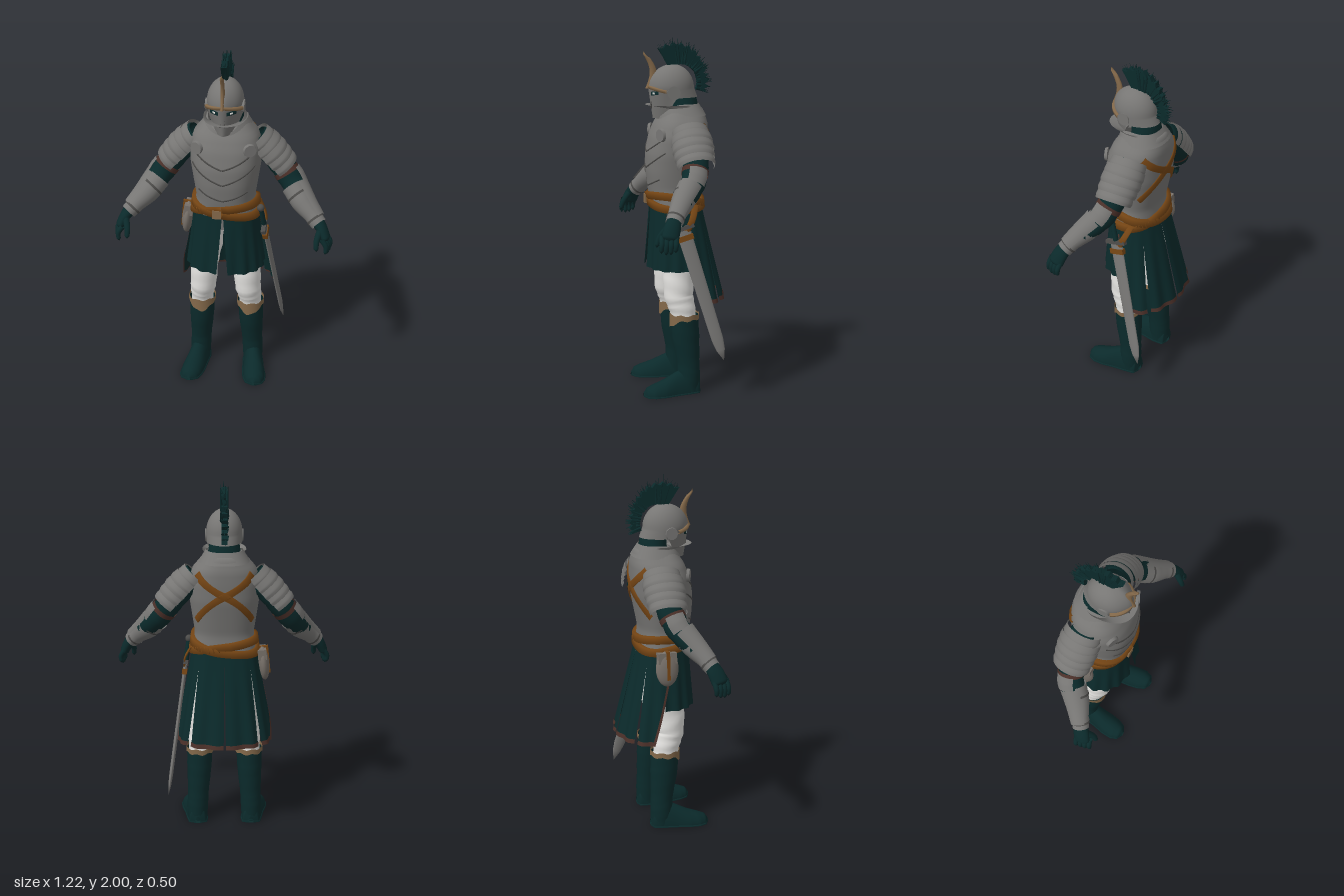
import * as THREE from 'three';
import { mergeVertices } from 'three/addons/utils/BufferGeometryUtils.js';

const paint = (name, color) => {
  const m = new THREE.MeshStandardMaterial({ color, side: THREE.DoubleSide });
  m.name = name;
  return m;
};
const { lerp, clamp, smoothstep } = THREE.MathUtils;
const V = (x, y, z) => new THREE.Vector3(x, y, z);

export function createModel() {
  const steel = paint('steel', 0x777674), darkSteel = paint('darkSteel', 0x4c4b49);
  const cloth = paint('darkCloth', 0x0b2a2b), white = paint('whiteCloth', 0xe4e3e0);
  const leather = paint('brownLeather', 0x754514), tan = paint('tanTrim', 0x84694a);
  const rust = paint('rustTrim', 0x4b3029), bag = paint('pouchLeather', 0x777069);
  const root = new THREE.Group();
  root.name = 'knight';
  let seed = 7;
  const rnd = () => (seed = (seed * 16807) % 2147483647) / 2147483647;

  const add = (parent, name, geo, mat, pos = [0, 0, 0]) => {
    const m = new THREE.Mesh(geo, mat);
    m.name = name;
    m.position.set(...pos);
    parent.add(m);
    return m;
  };
  // smooth grid surface from fn(u, v) -> [x, y, z]
  const surf = (parent, name, mat, nu, nv, fn) => {
    const pos = [], idx = [];
    for (let j = 0; j <= nv; j++) for (let i = 0; i <= nu; i++) pos.push(...fn(i / nu, j / nv));
    for (let j = 0; j < nv; j++) for (let i = 0; i < nu; i++) {
      const a = j * (nu + 1) + i, b = a + nu + 1;
      idx.push(a, b, a + 1, a + 1, b, b + 1);
    }
    let g = new THREE.BufferGeometry();
    g.setAttribute('position', new THREE.Float32BufferAttribute(pos, 3));
    g.setIndex(idx);
    g = mergeVertices(g, 1e-5);
    g.computeVertexNormals();
    return add(parent, name, g, mat);
  };
  // tube through [x, y, z, r, r2] points, optionally only part of the way round
  const limb = (parent, name, mat, pts, a0 = 0, a1 = Math.PI * 2, wrinkle = 0) => {
    const curve = new THREE.CatmullRomCurve3(pts.map(p => V(p[0], p[1], p[2]))), n = pts.length - 1;
    return surf(parent, name, mat, 20, n * 5, (u, v) => {
      const i = Math.min(Math.floor(v * n), n - 1), k = v * n - i, p = pts[i], q = pts[i + 1];
      const t = curve.getTangent(v), N = V(-t.y, t.x, 0).normalize(), B = t.clone().cross(N);
      const a = lerp(a0, a1, u), w = 1 + wrinkle * Math.sin(v * 40 + 2 * Math.sin(a));
      const r = lerp(p[3], q[3], k) * w, r2 = lerp(p[4] ?? p[3], q[4] ?? q[3], k) * w;
      return curve.getPoint(v).addScaledVector(N, r * Math.cos(a)).addScaledVector(B, r2 * Math.sin(a)).toArray();
    });
  };
  // point on a rounded ring [y, halfWidth, front, back]; angle 0 faces forward
  const ring = ([y, rx, f, b], a, off = 0) => {
    const s = Math.sin(a), c = Math.cos(a);
    return [Math.sign(s) * Math.abs(s) ** 0.85 * (rx + off), y, Math.sign(c) * Math.abs(c) ** 0.85 * ((c > 0 ? f : b) + off)];
  };
  // raised strap following a surface along [angle, y] points
  const band = (name, mat, S, path, width, off) => {
    const curve = new THREE.CatmullRomCurve3(path.map(p => V(p[0] * 0.17, p[1], 0)));
    surf(root, name, mat, 48, 3, (u, v) => {
      const p = curve.getPoint(u), t = curve.getTangent(u), k = Math.round(v * 3);
      const w = (k < 2 ? -0.5 : 0.5) * width;
      return S((p.x - t.y * w) / 0.17, p.y + t.x * w, k === 0 || k === 3 ? 0 : off);
    });
  };

  // cuirass
  const prof = [[0.98, 0.185, 0.15, 0.13], [1.08, 0.175, 0.155, 0.12], [1.15, 0.165, 0.168, 0.115], [1.25, 0.18, 0.18, 0.135],
    [1.35, 0.195, 0.18, 0.155], [1.45, 0.2, 0.16, 0.16], [1.52, 0.175, 0.13, 0.16], [1.58, 0.125, 0.09, 0.145], [1.62, 0.085, 0.055, 0.12]];
  const torso = (a, y, off) => {
    const i = clamp(prof.findIndex(p => p[0] > y), 1, 8), p = prof[i - 1], q = prof[i];
    const k = (y - p[0]) / (q[0] - p[0]);
    return ring(p.map((e, j) => lerp(e, q[j], k)), a, off);
  };
  surf(root, 'cuirass', steel, 48, 32, (u, v) => torso(u * Math.PI * 2, lerp(0.98, 1.62, v), 0));
  for (const [y, rise, span] of [[1.27, 0.1, 1], [1.36, 0.09, 0.9], [1.17, 0.05, 0.8]])
    for (const s of [-1, 1])
      band('chestPlateEdge', darkSteel, torso, [[0, y], [s * span * 0.5, y + rise * 0.45], [s * span, y + rise]], 0.007, 0.004);
  for (const s of [-1, 1])
    band('backStrap', leather, torso, [[Math.PI - s * 0.9, 1.51], [Math.PI, 1.39], [Math.PI + s * 0.95, 1.24]], 0.034, 0.009);
  // crossing belts
  for (const s of [-1, 1]) {
    const path = [];
    for (let i = 0; i <= 16; i++) path.push([i / 8 * Math.PI, 1.085 + 0.035 * s * Math.sin(i / 8 * Math.PI + 0.5) + 0.012 * Math.cos(i / 8 * Math.PI)]);
    band('belt', leather, torso, path, 0.04, 0.022);
  }
  add(root, 'buckle', new THREE.BoxGeometry(0.05, 0.05, 0.012), tan, [-0.03, 1.09, 0.18]);
  // neck and flared gorget
  limb(root, 'neckCloth', cloth, [[0, 1.5, -0.03, 0.09, 0.09], [0, 1.6, -0.035, 0.092, 0.078], [0, 1.66, -0.03, 0.082, 0.072]]);
  surf(root, 'gorget', steel, 40, 4, (u, v) => {
    const a = u * Math.PI * 2, f = Math.max(0, Math.cos(a)) ** 2;
    const p = ring([lerp(1.56 - 0.06 * f, 1.625 - 0.075 * f, v), lerp(0.14, 0.1, v), lerp(0.14, 0.13, v), lerp(0.14, 0.1, v)], a);
    p[2] -= 0.015;
    return p;
  });

  // helmet
  surf(root, 'helmet', steel, 48, 24, (u, v) => {
    const a = u * Math.PI * 2, s = Math.sin(a), c = Math.cos(a), t = smoothstep(c, -0.1, 0.6);
    const th = Math.min(v / 0.55, 1) * Math.PI / 2, k = Math.max(0, (v - 0.55) / 0.45);
    const y = k > 0 ? lerp(1.71, lerp(1.66, 1.545, t), k) : 1.71 + 0.13 * Math.cos(th);
    const rz = c > 0 ? 0.125 * (1 - 0.2 * k) + 0.012 * c ** 14 : 0.12 * (1 + 0.16 * k);
    return [0.1 * Math.sin(th) * s * (1 - 0.42 * t * k), y, 0.03 + rz * Math.sin(th) * c];
  });
  const brow = (a, y, off) => [(0.1 + off) * Math.sin(a), y, 0.03 + (0.125 + off) * Math.cos(a)];
  band('browBand', tan, brow, [[-1.15, 1.695], [-0.4, 1.713], [0, 1.718], [0.4, 1.713], [1.15, 1.695]], 0.016, 0.014);
  for (const s of [-1, 1]) {
    band('eyeSlit', cloth, brow, [[s * 0.22, 1.682], [s * 0.75, 1.688]], 0.02, 0.004);
    band('eye', white, brow, [[s * 0.38, 1.684], [s * 0.55, 1.686]], 0.01, 0.006);
    band('visorSlot', darkSteel, brow, [[s * 0.1, 1.66], [s * 0.13, 1.6]], 0.006, -0.004);
    add(root, 'earDisc', new THREE.CylinderGeometry(0.033, 0.036, 0.016, 20), steel, [s * 0.098, 1.69, 0.045]).rotation.z = Math.PI / 2;
  }
  // horn blade on the brow
  surf(root, 'crestHorn', tan, 8, 14, (u, v) => {
    const z = 0.163 - 0.035 * Math.sin(v * Math.PI) + 0.022 * v, y = 1.71 + 0.19 * v, a = u * Math.PI * 2;
    const r = v === 1 ? 0.3 : 1;
    return [0.011 * r * Math.cos(a), y + 0.012 * v * Math.sin(a), z + 0.02 * r * Math.sin(a)];
  });
  // plume: solid core with loose strands
  const reach = t => lerp(0.235, 0.172, smoothstep(t, 0.1, 0.75)), plumeAngle = t => lerp(0.58, -1.95, t);
  const core = new THREE.Shape();
  for (let i = 0; i <= 48; i++) {
    const t = i < 25 ? i / 24 : (48 - i) / 23, f = plumeAngle(t);
    const r = i < 25 ? reach(t) - (i % 2 ? 0.03 : 0.012) : lerp(0.1, 0.125, t);
    core[i ? 'lineTo' : 'moveTo'](-0.01 + Math.sin(f) * r, 1.74 + Math.cos(f) * r);
  }
  add(root, 'plumeCore', new THREE.ExtrudeGeometry(core, { depth: 0.032, bevelEnabled: false }), cloth, [0.016, 0, 0]).rotation.y = -Math.PI / 2;
  for (let i = 0; i < 110; i++) {
    const t = i / 109, f = plumeAngle(t) + (rnd() - 0.5) * 0.1, tilt = (rnd() - 0.5) * 0.12;
    const R = Math.min(reach(t) + (rnd() - 0.5) * 0.035, 0.25), dir = V(tilt, Math.cos(f), Math.sin(f)).normalize();
    const m = add(root, 'plumeStrand', new THREE.ConeGeometry(0.009, R - 0.1, 5), cloth);
    m.quaternion.setFromUnitVectors(V(0, 1, 0), dir);
    m.position.set((rnd() - 0.5) * 0.026, 1.74, -0.01).addScaledVector(dir, (R + 0.1) / 2);
  }
  add(root, 'plumeTip', new THREE.ConeGeometry(0.006, 0.1, 5), cloth, [0.005, 1.95, 0.03]);

  // one side: arm, leg and skirt panels
  const panel = (g, name, mat, top, low, a, b, v0, v1, off) => surf(g, name, mat, 24, 10, (u, v) => {
    const k = lerp(v0, v1, v), ang = lerp(lerp(a[0], a[1], u), lerp(b[0], b[1], u), k);
    return ring(top.map((e, j) => lerp(e, low[j], k)), ang, off + 0.007 * k * Math.sin(ang * 15));
  });
  const full = Math.PI * 2;
  for (const s of [1, -1]) {
    const g = new THREE.Group();
    g.name = s > 0 ? 'leftSide' : 'rightSide';
    g.scale.x = s;
    root.add(g);

    // arm
    limb(g, 'sleeve', cloth, [[0.16, 1.48, -0.03, 0.07], [0.22, 1.43, -0.035, 0.078], [0.3, 1.33, -0.03, 0.07], [0.375, 1.225, 0.005, 0.066], [0.45, 1.14, 0.075, 0.05]], 0, full, 0.035);
    for (let i = 0; i < 5; i++) {
      const x = 0.155 + i * 0.031, y = 1.485 - i * 0.034, r = [0.085, 0.095, 0.096, 0.092, 0.086][i];
      limb(g, 'pauldronLame', steel, [[x, y, -0.03, r, r + 0.016], [x + 0.025, y - 0.027, -0.032, r + 0.006, r + 0.02], [x + 0.037, y - 0.042, -0.033, r + 0.002, r + 0.014]], -1.8, 1.8);
    }
    add(g, 'shoulderDisc', new THREE.CylinderGeometry(0.034, 0.038, 0.016, 20), steel, [0.145, 1.465, 0.128]).rotation.set(Math.PI / 2, 0, -0.45);
    limb(g, 'armStrap', rust, [[0.325, 1.295, -0.022, 0.073], [0.342, 1.272, -0.014, 0.072]]);
    limb(g, 'elbowPlate', steel, [[0.335, 1.285, -0.015, 0.078], [0.36, 1.25, -0.005, 0.08], [0.385, 1.215, 0.012, 0.076]], -0.9, 0.5);
    limb(g, 'bracer', steel, [[0.375, 1.215, 0.02, 0.066], [0.43, 1.15, 0.07, 0.063], [0.49, 1.095, 0.115, 0.048], [0.53, 1.055, 0.142, 0.045]]);
    limb(g, 'bracerPlate', steel, [[0.385, 1.215, 0.02, 0.078], [0.45, 1.14, 0.08, 0.066], [0.51, 1.078, 0.127, 0.055]], -0.8, 0.8);
    for (const [x, y, z, r] of [[0.405, 1.18, 0.047, 0.068], [0.505, 1.08, 0.126, 0.05]])
      limb(g, 'bracerStrap', darkSteel, [[x, y, z, r], [x + 0.008, y - 0.008, z + 0.006, r]]);
    // glove
    limb(g, 'glovePalm', cloth, [[0.52, 1.07, 0.135, 0.036, 0.038], [0.55, 1.03, 0.155, 0.03, 0.045], [0.572, 0.985, 0.17, 0.026, 0.046], [0.58, 0.965, 0.175, 0.004, 0.01]]);
    for (let i = 0; i < 4; i++) {
      const z = 0.138 + i * 0.024, x = 0.58 - i * 0.006, d = [0.012, 0.002, 0, 0.008][i];
      limb(g, 'finger', cloth, [[x - 0.01, 0.995, z, 0.015], [x + 0.015, 0.955, z + 0.006, 0.014], [x + 0.014, 0.915 + d, z + 0.008, 0.012], [x + 0.01, 0.9 + d, z + 0.008, 0.001]]);
    }
    limb(g, 'thumb', cloth, [[0.54, 1.03, 0.18, 0.02], [0.525, 0.985, 0.215, 0.016], [0.525, 0.945, 0.23, 0.013], [0.526, 0.93, 0.232, 0.001]]);

    // leg and boot
    limb(g, 'trouserLeg', white, [[0.095, 0.98, 0.01, 0.09], [0.11, 0.82, 0.015, 0.09, 0.1], [0.123, 0.69, 0.022, 0.078, 0.09], [0.13, 0.56, 0.025, 0.075, 0.082], [0.138, 0.5, 0.01, 0.068, 0.076], [0.142, 0.42, -0.005, 0.062, 0.068]], 0, full, 0.025);
    limb(g, 'bootShaft', cloth, [[0.142, 0.445, -0.005, 0.074, 0.079], [0.146, 0.32, -0.012, 0.07, 0.078], [0.152, 0.18, -0.025, 0.06, 0.064], [0.156, 0.09, -0.028, 0.06, 0.064], [0.157, 0.01, -0.028, 0.056, 0.062]], 0, full, 0.008);
    surf(g, 'bootCuff', tan, 32, 3, (u, v) => {
      const a = u * full, tip = Math.max(0, Math.cos(a)) ** 3;
      return [0.142 + 0.079 * Math.sin(a), lerp(0.458, 0.428 - 0.045 * tip, v) + 0.005 * Math.sin(a * 7), -0.005 + 0.084 * Math.cos(a)];
    });
    // foot sections: [z, x, halfWidth, height]
    const feet = [[-0.092, 0.155, 0.015, 0.04], [-0.08, 0.155, 0.048, 0.1], [-0.02, 0.158, 0.058, 0.15], [0.05, 0.168, 0.06, 0.12], [0.12, 0.18, 0.066, 0.085], [0.18, 0.188, 0.062, 0.064], [0.22, 0.19, 0.045, 0.048], [0.24, 0.19, 0.008, 0.02]];
    const foot = (name, mat, grow, top) => surf(g, name, mat, 20, 28, (u, v) => {
      const i = Math.min(Math.floor(v * 7), 6), k = v * 7 - i;
      const [z, x, w, h] = feet[i].map((e, j) => lerp(e, feet[i + 1][j], k)), a = u * full;
      return [x + (w + grow) * Math.cos(a), Math.max(0, Math.sin(a)) * (top || h), z];
    });
    foot('bootFoot', cloth, 0, 0);
    foot('bootSole', cloth, 0.005, 0.018);

    // skirt panels with hems
    const f0 = [1.06, 0.18, 0.16, 0.12], f1 = [0.71, 0.22, 0.182, 0.1];
    panel(g, 'frontSkirt', cloth, f0, f1, [0.01, 1.6], [0.1, 1.75], 0, 1, 0);
    const b0 = [1.05, 0.182, 0.14, 0.128], b1 = [0.53, 0.28, 0.1, 0.25];
    for (const [name, a, b] of [['sideSkirt', [1.4, 2.38], [1.92, 2.34]], ['backSkirt', [2.36, Math.PI], [2.44, 3.13]]]) {
      panel(g, name, cloth, b0, b1, a, b, 0, 0.97, 0);
      panel(g, name + 'Hem', rust, b0, b1, a, b, 0.955, 1, 0.004);
    }
    panel(g, 'sideSkirtTrim', rust, b0, b1, [1.39, 1.44], [1.9, 1.96], 0.1, 1, 0.004);
  }

  // hip pouch on the right
  const pouch = new THREE.Group();
  pouch.name = 'hipPouch';
  pouch.position.set(-0.222, 0.965, -0.015);
  pouch.rotation.z = -0.1;
  root.add(pouch);
  add(pouch, 'pouchBody', new THREE.SphereGeometry(1, 20, 14), bag).scale.set(0.032, 0.1, 0.065);
  add(pouch, 'pouchFlap', new THREE.BoxGeometry(0.05, 0.06, 0.105), bag, [0.004, 0.06, 0]);
  add(pouch, 'pouchStrap', new THREE.BoxGeometry(0.068, 0.16, 0.018), leather, [0, 0.02, 0]);

  // sword hanging on the left hip
  const tip = V(0.322, 0.22, -0.19), up = V(0.2, 1.09, 0.06).sub(tip).normalize();
  const side = V(1, 0, 0).addScaledVector(up, -up.x).normalize();
  const sword = new THREE.Group();
  sword.name = 'sword';
  sword.position.copy(tip);
  sword.quaternion.setFromRotationMatrix(new THREE.Matrix4().makeBasis(side, up, side.clone().cross(up)));
  root.add(sword);
  surf(sword, 'scabbard', steel, 16, 12, (u, v) => {
    const w = Math.min(1, v * 9) * lerp(0.032, 0.041, v), a = u * full;
    return [0.011 * Math.min(1, v * 9) * Math.cos(a), v * 0.76, w * Math.sin(a)];
  });
  add(sword, 'scabbardBand', new THREE.BoxGeometry(0.028, 0.03, 0.088), leather, [0, 0.72, 0]);
  add(sword, 'guard', new THREE.BoxGeometry(0.026, 0.022, 0.13), darkSteel, [0, 0.775, 0]);
  add(sword, 'grip', new THREE.CylinderGeometry(0.013, 0.015, 0.12, 12), cloth, [0, 0.845, 0]);
  add(sword, 'pommel', new THREE.SphereGeometry(0.021, 14, 10), darkSteel, [0, 0.91, 0]);
  limb(root, 'swordHanger', leather, [[0.185, 1.08, -0.06, 0.006, 0.018], [0.222, 1.0, -0.03, 0.006, 0.018], [0.225, 0.94, 0, 0.006, 0.018]]);
  return root;
}
